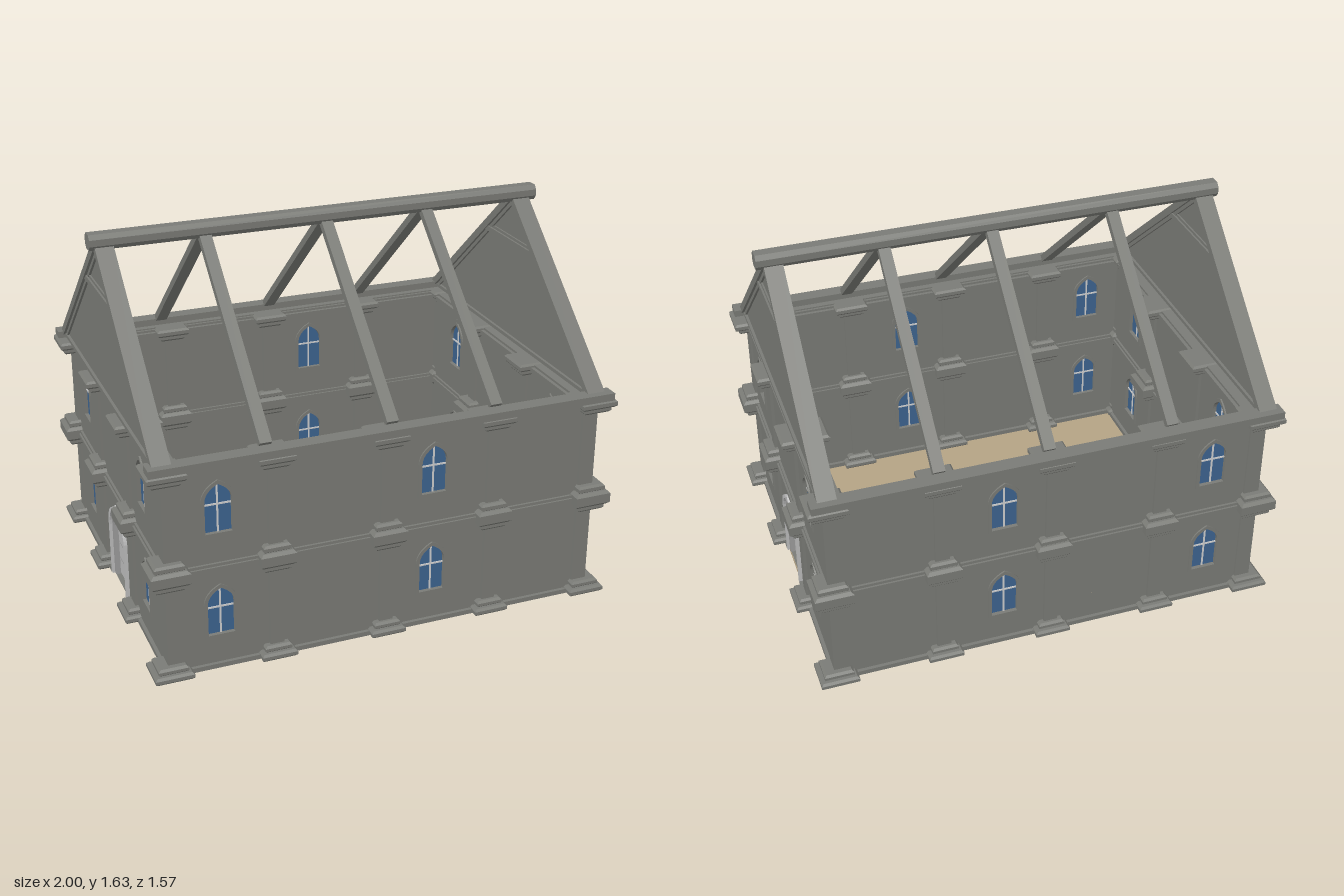
import * as THREE from 'three';

const mat = (name, color, side = THREE.FrontSide) => {
  const m = new THREE.MeshStandardMaterial({ color, side });
  m.name = name;
  return m;
};

export function createModel() {
  const stone = mat('stone grey', 0x7a7b76);
  const glass = mat('window blue', 0x3d6490);
  const bar = mat('glazing bar grey', 0xcfcfcf);
  const pale = mat('door pale grey', 0xbcbcbc);
  const moulding = mat('door moulding grey', 0x9c9c9c);
  const earth = mat('floor tan', 0xb4a384);

  const root = new THREE.Group();
  root.name = 'gabledHouse';

  const add = (parent, name, geo, material, x = 0, y = 0, z = 0) => {
    const m = new THREE.Mesh(geo, material);
    m.name = name;
    m.position.set(x, y, z);
    parent.add(m);
    return m;
  };
  const box = (parent, name, material, w, h, d, x, y, z) =>
    add(parent, name, new THREE.BoxGeometry(w, h, d), material, x, y, z);

  // Plate with its thickness centred on z = 0
  const plate = (shape, depth) => {
    const g = new THREE.ExtrudeGeometry(shape, { depth, bevelEnabled: false, curveSegments: 8 });
    return g.translate(0, 0, -depth / 2);
  };

  // Block with chamfered edges, standing on y0
  const block = (parent, name, w, d, y0, y1, x, z, b = 0.009) => {
    const s = new THREE.Shape();
    const a = w / 2 - b, c = d / 2 - b;
    s.moveTo(-a, -c).lineTo(a, -c).lineTo(a, c).lineTo(-a, c).closePath();
    const g = new THREE.ExtrudeGeometry(s, {
      depth: y1 - y0 - 2 * b, bevelEnabled: true, bevelThickness: b, bevelSize: b, bevelSegments: 1,
    });
    g.rotateX(-Math.PI / 2).translate(0, b, 0);
    add(parent, name, g, stone, x, y0, z);
  };

  // Pointed window outline and round door outline
  const pointed = (P, u, half, y0, spring, top) => {
    const s = new P();
    s.moveTo(u - half, y0);
    s.lineTo(u + half, y0);
    s.lineTo(u + half, spring);
    s.quadraticCurveTo(u + half, spring + (top - spring) * 0.62, u, top);
    s.quadraticCurveTo(u - half, spring + (top - spring) * 0.62, u - half, spring);
    s.closePath();
    return s;
  };
  const round = (P, half, y0, spring) => {
    const s = new P();
    s.moveTo(-half, y0);
    s.lineTo(half, y0);
    s.lineTo(half, spring);
    s.absarc(0, spring, half, 0, Math.PI, false);
    s.closePath();
    return s;
  };

  const addWindow = (parent, u, y, depth) => {
    const g = new THREE.Group();
    g.name = 'window';
    g.position.set(u, y, 0);
    parent.add(g);
    const frame = pointed(THREE.Shape, 0, 0.07, 0, 0.15, 0.24);
    frame.holes.push(pointed(THREE.Path, 0, 0.055, 0.013, 0.15, 0.223));
    add(g, 'windowFrame', plate(frame, depth + 0.014), stone);
    add(g, 'windowPane', plate(pointed(THREE.Shape, 0, 0.056, 0.012, 0.15, 0.224), depth - 0.02), glass);
    box(g, 'uprightBar', bar, 0.007, 0.208, depth - 0.012, 0, 0.117, 0);
    box(g, 'crossBar', bar, 0.11, 0.007, depth - 0.012, 0, 0.132, 0);
  };

  const addDoor = (parent, depth) => {
    const g = new THREE.Group();
    g.name = 'door';
    parent.add(g);
    // Surround with an ogee point
    const s = new THREE.Shape();
    s.moveTo(-0.132, 0.02);
    s.lineTo(-0.132, 0.285);
    s.quadraticCurveTo(-0.12, 0.35, -0.05, 0.38);
    s.quadraticCurveTo(-0.015, 0.39, 0, 0.413);
    s.quadraticCurveTo(0.015, 0.39, 0.05, 0.38);
    s.quadraticCurveTo(0.12, 0.35, 0.132, 0.285);
    s.lineTo(0.132, 0.02);
    s.lineTo(0.112, 0.02);
    s.lineTo(0.112, 0.265);
    s.absarc(0, 0.265, 0.112, 0, Math.PI, false);
    s.lineTo(-0.112, 0.02);
    s.closePath();
    add(g, 'doorSurround', plate(s, depth + 0.03), pale);
    const r = new THREE.Shape();
    r.moveTo(0.112, 0.02);
    r.lineTo(0.112, 0.265);
    r.absarc(0, 0.265, 0.112, 0, Math.PI, false);
    r.lineTo(-0.112, 0.02);
    r.lineTo(-0.094, 0.02);
    r.lineTo(-0.094, 0.265);
    r.absarc(0, 0.265, 0.094, Math.PI, 0, true);
    r.lineTo(0.094, 0.02);
    r.closePath();
    add(g, 'doorMoulding', plate(r, depth + 0.008), moulding);
    add(g, 'doorLeaves', plate(round(THREE.Shape, 0.095, 0.028, 0.265), 0.03), pale);
    box(g, 'doorMeetingStrip', moulding, 0.006, 0.325, 0.038, 0, 0.193, 0);
    for (const y of [0.11, 0.19, 0.27]) box(g, 'doorRail', moulding, 0.186, 0.005, 0.034, 0, y, 0);
  };

  // Pillar: shaft with stepped base, middle block and capital
  const addPillar = (parent, x, z, w, d, sx, sz, sw, sd) => {
    const g = new THREE.Group();
    g.name = 'pillar';
    parent.add(g);
    box(g, 'pillarShaft', stone, sw, 0.89, sd, sx, 0.46, sz);
    const n = 0.036;
    block(g, 'pillarBase', w, d, 0.014, 0.046, x, z);
    block(g, 'pillarBaseStep', w - n, d - n, 0.042, 0.072, x, z);
    block(g, 'middleLowerStep', w - n, d - n, 0.412, 0.445, x, z);
    block(g, 'middleBlock', w, d, 0.438, 0.503, x, z, 0.012);
    block(g, 'middleUpperStep', w - n, d - n, 0.497, 0.53, x, z);
    block(g, 'capitalStep', w - n, d - n, 0.862, 0.895, x, z);
    block(g, 'capital', w, d, 0.888, 0.922, x, z);
  };

  // Wall along local x, the same on both faces
  const addWall = (name, half, depth, windows, pillars, capDepth, hasDoor) => {
    const g = new THREE.Group();
    g.name = name;
    root.add(g);
    const s = new THREE.Shape();
    s.moveTo(-half, 0.012).lineTo(half, 0.012).lineTo(half, 0.916).lineTo(-half, 0.916).closePath();
    for (const u of windows) for (const y of [0.152, 0.606]) {
      s.holes.push(pointed(THREE.Path, u, 0.062, y + 0.006, y + 0.15, y + 0.231));
      addWindow(g, u, y, depth);
    }
    if (hasDoor) {
      s.holes.push(round(THREE.Path, 0.113, 0.014, 0.265));
      addDoor(g, depth);
    }
    add(g, 'wallPanel', plate(s, depth), stone);
    // String courses
    const rails = [[0.443, 0.458, 0.02], [0.458, 0.476, 0.036], [0.476, 0.488, 0.02], [0.888, 0.906, 0.03]];
    for (const [a, b, e] of rails) box(g, 'stringCourse', stone, half * 2, b - a, depth + e, 0, (a + b) / 2, 0);
    const spans = hasDoor ? [[-half, -0.132], [0.132, half]] : [[-half, half]];
    for (const [a, b] of spans) box(g, 'baseCourse', stone, b - a, 0.02, depth + 0.03, (a + b) / 2, 0.025, 0);
    for (const u of pillars) addPillar(g, u, 0, 0.15, capDepth, u, 0, 0.06, depth + 0.026);
    return g;
  };

  box(root, 'floor', earth, 1.81, 0.013, 1.39, 0.025, 0.0065, 0.01);

  for (const s of [1, -1]) {
    const long = addWall(s > 0 ? 'frontWall' : 'backWall', 0.9, 0.05, [-0.71, 0.2],
      [-0.48, -0.005, 0.465], 0.15, false);
    long.position.z = s * 0.705;
    const end = addWall(s > 0 ? 'leftWall' : 'rightWall', 0.7, 0.065, [-0.465, 0.44], [-0.25, 0.23], 0.2, true);
    end.rotation.y = s * Math.PI / 2;
    end.position.set(s * 0.895, 0, s * 0.012);
    end.children.filter((c) => c.name === 'pillar').forEach((c) => { c.position.x = 0.012 * 1; });
    for (const t of [1, -1]) addPillar(root, s * 0.92, t * 0.713, 0.16, 0.148, s * 0.902, t * 0.705, 0.068, 0.07);

    // Eaves beam
    box(root, 'eavesBeam', stone, 1.975, 0.032, 0.065, -0.003, 0.936, s * 0.752);
    box(root, 'eavesMoulding', stone, 1.96, 0.022, 0.075, -0.003, 0.911, s * 0.728);
  }

  // Sloping roof members, lowered by drop below the roof line
  const Y0 = 0.948, Y1 = 1.605, Z0 = 0.757;
  const angle = Math.atan2(Y1 - Y0, Z0);
  const slope = (name, x, w, t, foot, drop) => {
    const len = foot / Math.cos(angle);
    for (const s of [1, -1]) {
      const off = drop + t / 2;
      const m = box(root, name, stone, w, t, len, x,
        Y1 - (foot / 2) * Math.tan(angle) - off * Math.cos(angle), s * (foot / 2 - off * Math.sin(angle)));
      m.rotation.x = s * angle;
    }
  };
  for (const x of [-0.513, 0.013, 0.467]) slope('rafter', x, 0.05, 0.03, 0.735, 0);

  // Gable ends
  for (const x of [-0.93, 0.915]) {
    slope('endRafter', x, 0.077, 0.032, Z0, 0);
    slope('gableTrim', x, 0.055, 0.016, 0.74, 0.032);
    const tri = new THREE.Shape();
    tri.moveTo(-0.73, 0.93).lineTo(0.73, 0.93).lineTo(0, 1.575).closePath();
    add(root, 'gable', plate(tri, 0.036), stone, x).rotation.y = Math.PI / 2;
    box(root, 'collarBeam', stone, 0.066, 0.022, 0.45, x, 1.378, 0);
    box(root, 'collarMoulding', stone, 0.05, 0.012, 0.42, x, 1.395, 0);
    box(root, 'gableSill', stone, 0.06, 0.016, 1.46, x, 0.938, 0);
  }

  // Ridge beam with eight sides
  const r = new THREE.Shape();
  r.moveTo(-0.022, 1.565).lineTo(0.022, 1.565).lineTo(0.038, 1.585).lineTo(0.038, 1.612);
  r.lineTo(0.022, 1.63).lineTo(-0.022, 1.63).lineTo(-0.038, 1.612).lineTo(-0.038, 1.585).closePath();
  add(root, 'ridgeBeam', plate(r, 1.975), stone, -0.003).rotation.y = Math.PI / 2;

  return root;
}
